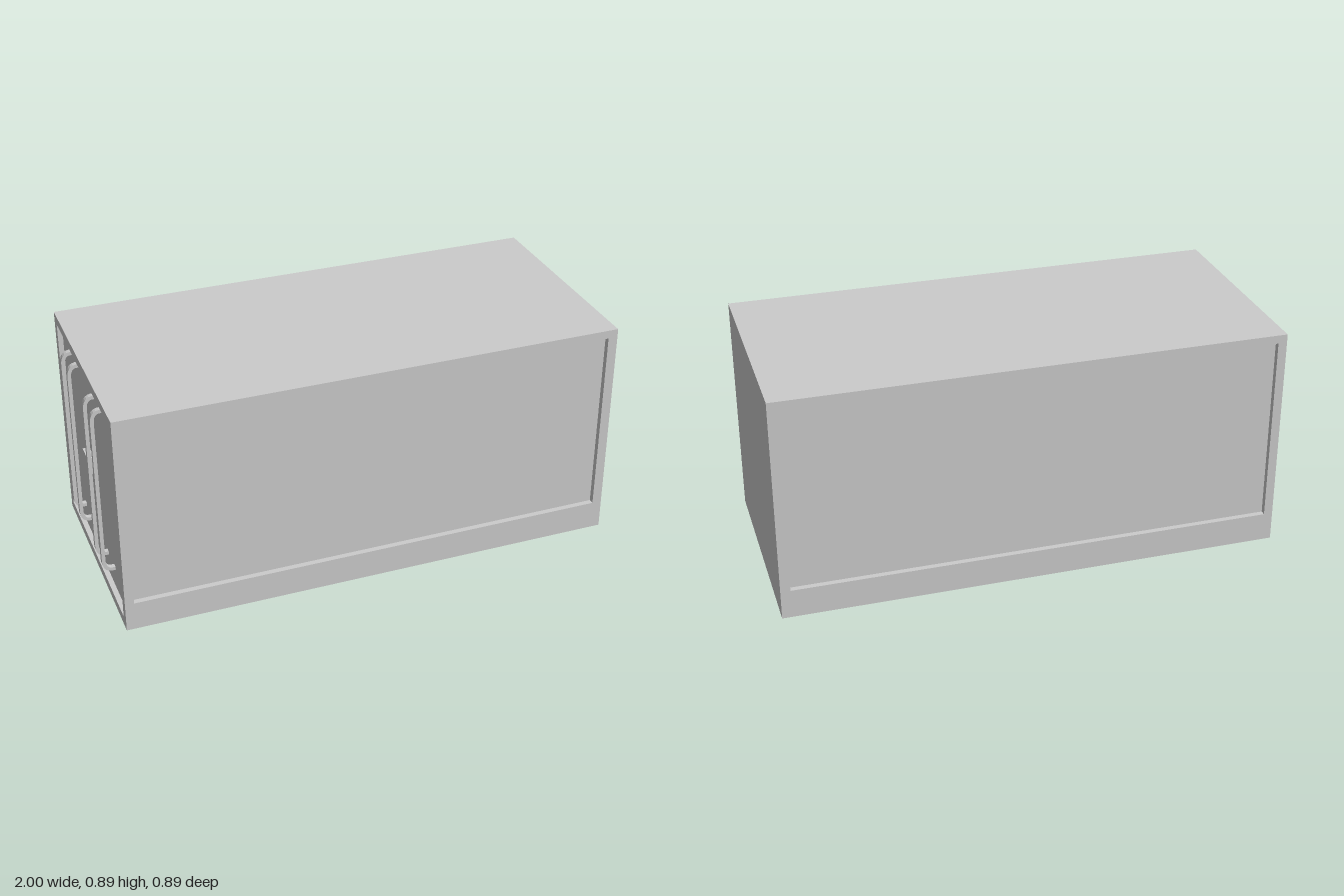
import * as THREE from 'three';

const material = new THREE.MeshStandardMaterial({ color: 0xcccccc, flatShading: true });
const X0 = -0.97, X1 = 1, H = 0.895, HZ = 0.447; // outer shell
const SIDE_DEPTH = 0.022, DOOR_DEPTH = 0.02; // panel recesses

function add(group, name, geometry, x = 0, y = 0, z = 0) {
  const mesh = new THREE.Mesh(geometry, material);
  mesh.name = name;
  mesh.position.set(x, y, z);
  group.add(mesh);
  return mesh;
}

function rectangle(path, x0, y0, x1, y1) {
  return path.moveTo(x0, y0).lineTo(x1, y0).lineTo(x1, y1).lineTo(x0, y1).closePath();
}

// Rectangular frame with a rectangular opening
function frame(outer, inner, depth) {
  const shape = rectangle(new THREE.Shape(), ...outer);
  shape.holes.push(rectangle(new THREE.Path(), ...inner));
  return new THREE.ExtrudeGeometry(shape, { depth, bevelEnabled: false });
}

// Flat-sided locking bar, bent back to the door at both ends
function barGeometry(width) {
  const base = -0.945, out = -1, t = 0.014, y0 = 0.13, y1 = 0.83, r = 0.05;
  const s = new THREE.Shape();
  s.moveTo(base, y0);
  s.lineTo(X0 + 0.004, y0);
  s.quadraticCurveTo(out, y0 + 0.004, out, y0 + r);
  s.lineTo(out, y1 - r);
  s.quadraticCurveTo(out, y1 - 0.004, X0 + 0.004, y1);
  s.lineTo(base, y1);
  s.lineTo(base, y1 - t);
  s.lineTo(X0 + 0.004, y1 - t);
  s.quadraticCurveTo(out + t, y1 - t - 0.004, out + t, y1 - r);
  s.lineTo(out + t, y0 + r);
  s.quadraticCurveTo(out + t, y0 + t + 0.004, X0 + 0.004, y0 + t);
  s.lineTo(base, y0 + t);
  s.closePath();
  const g = new THREE.ExtrudeGeometry(s, { depth: width, bevelEnabled: false, curveSegments: 6 });
  return g.translate(0, 0, -width / 2);
}

export function createModel() {
  const group = new THREE.Group();
  group.name = 'shippingContainer';

  // Core, whose faces are the recessed panels
  const coreX0 = X0 + DOOR_DEPTH;
  const coreZ = HZ - SIDE_DEPTH;
  add(group, 'body', new THREE.BoxGeometry(X1 - coreX0, H, coreZ * 2), (X1 + coreX0) / 2, H / 2, 0);

  // Long side frames, with a deeper bottom rail
  const sideFrame = frame([coreX0, 0, X1, H], [-0.935, 0.115, 0.962, 0.862], SIDE_DEPTH);
  add(group, 'frontFrame', sideFrame, 0, 0, coreZ);
  add(group, 'backFrame', sideFrame, 0, 0, -HZ);

  // Door end frame
  const doorFrame = frame([-HZ, 0, HZ, H], [-0.41, 0.038, 0.41, 0.858], DOOR_DEPTH);
  add(group, 'doorFrame', doorFrame, coreX0).rotation.y = -Math.PI / 2;

  // Locking bars and lock box
  const bar = barGeometry(0.02);
  for (const z of [-0.235, -0.13, 0.122, 0.228]) add(group, 'lockingBar', bar, 0, 0, z);
  add(group, 'lockBox', new THREE.BoxGeometry(0.032, 0.07, 0.08), -0.961, 0.46, -0.03);

  return group;
}
